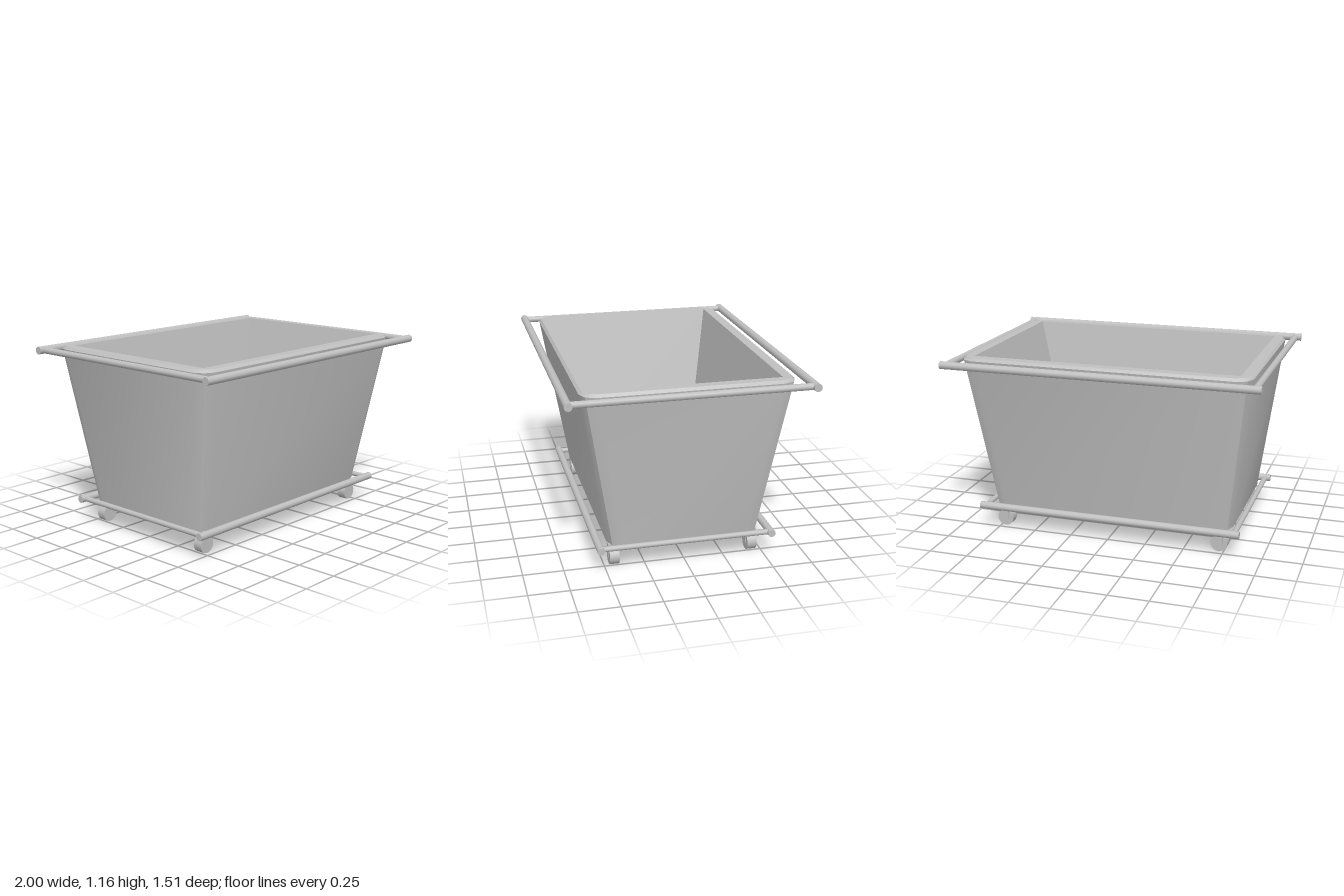
import * as THREE from 'three';
import { toCreasedNormals } from 'three/addons/utils/BufferGeometryUtils.js';

// Horizontal ring of a rectangle with two-step rounded corners (three points per corner)
function ring([hx, hz, r, y]) {
  const pts = [];
  [[1, 1], [-1, 1], [-1, -1], [1, -1]].forEach(([sx, sz], c) => {
    for (let k = 0; k < 3; k++) {
      const a = c * Math.PI / 2 + k * Math.PI / 4;
      pts.push(new THREE.Vector3(sx * (hx - r) + r * Math.cos(a), y, -(sz * (hz - r) + r * Math.sin(a))));
    }
  });
  return pts;
}

// Closed skin over the rings, capped at the first (underside) and last (inside floor)
function loft(sections) {
  const rings = sections.map(ring), pos = [], n = rings[0].length;
  const tri = (a, b, c) => {
    const area = b.clone().sub(a).cross(c.clone().sub(a)).length();
    if (area > 1e-7) for (const p of [a, b, c]) pos.push(p.x, p.y, p.z);
  };
  for (let j = 0; j < rings.length - 1; j++) {
    const lo = rings[j], hi = rings[j + 1];
    for (let i = 0; i < n; i++) {
      const k = (i + 1) % n;
      tri(lo[i], lo[k], hi[k]);
      tri(lo[i], hi[k], hi[i]);
    }
  }
  const first = rings[0], last = rings[rings.length - 1];
  for (let i = 1; i < n - 1; i++) {
    tri(first[0], first[i + 1], first[i]);
    tri(last[0], last[i], last[i + 1]);
  }
  const geo = new THREE.BufferGeometry();
  geo.setAttribute('position', new THREE.Float32BufferAttribute(pos, 3));
  return toCreasedNormals(geo, 0.6);
}

export function createModel() {
  const model = new THREE.Group();
  model.name = 'rollingTub';
  const grey = new THREE.MeshStandardMaterial({ color: 0xc0c0c0 });
  grey.name = 'light grey';

  const add = (parent, name, geo, x = 0, y = 0, z = 0) => {
    const mesh = new THREE.Mesh(geo, grey);
    mesh.name = name;
    mesh.position.set(x, y, z);
    parent.add(mesh);
    return mesh;
  };

  // Tapered tub: half width, half depth, corner radius, height
  add(model, 'tub', loft([
    [0.74, 0.41, 0.07, 0.12],
    [0.795, 0.478, 0.09, 0.145],
    [0.92, 0.645, 0.09, 1.145],
    [0.905, 0.63, 0.085, 1.162],
    [0.845, 0.567, 0, 1.162],
    [0.575, 0.387, 0, 0.16],
  ]));

  // Rectangular tube frames around the rim and the base
  const frame = (name, y, halfLength, longZ, longR, sideX, sideR) => {
    const group = new THREE.Group();
    group.name = name;
    for (const s of [-1, 1]) {
      add(group, 'longRail', new THREE.CylinderGeometry(longR, longR, 2 * halfLength, 12), 0, y, s * longZ)
        .rotation.z = Math.PI / 2;
      add(group, 'sideRail', new THREE.CylinderGeometry(sideR, sideR, 2 * longZ, 12), s * sideX, y, 0)
        .rotation.x = Math.PI / 2;
    }
    model.add(group);
  };
  frame('rimFrame', 1.13, 1, 0.73, 0.025, 0.962, 0.021);
  frame('baseFrame', 0.153, 0.86, 0.536, 0.024, 0.825, 0.017);

  // Four casters: wheel and mounting post
  for (const sx of [-1, 1]) for (const sz of [-1, 1]) {
    const caster = new THREE.Group();
    caster.name = 'caster';
    caster.position.set(sx * 0.72, 0, sz * 0.438);
    add(caster, 'wheel', new THREE.CylinderGeometry(0.054, 0.054, 0.06, 14), 0, 0.054, 0)
      .rotation.x = Math.PI / 2;
    add(caster, 'post', new THREE.BoxGeometry(0.045, 0.09, 0.07), 0, 0.095, 0);
    model.add(caster);
  }
  return model;
}
